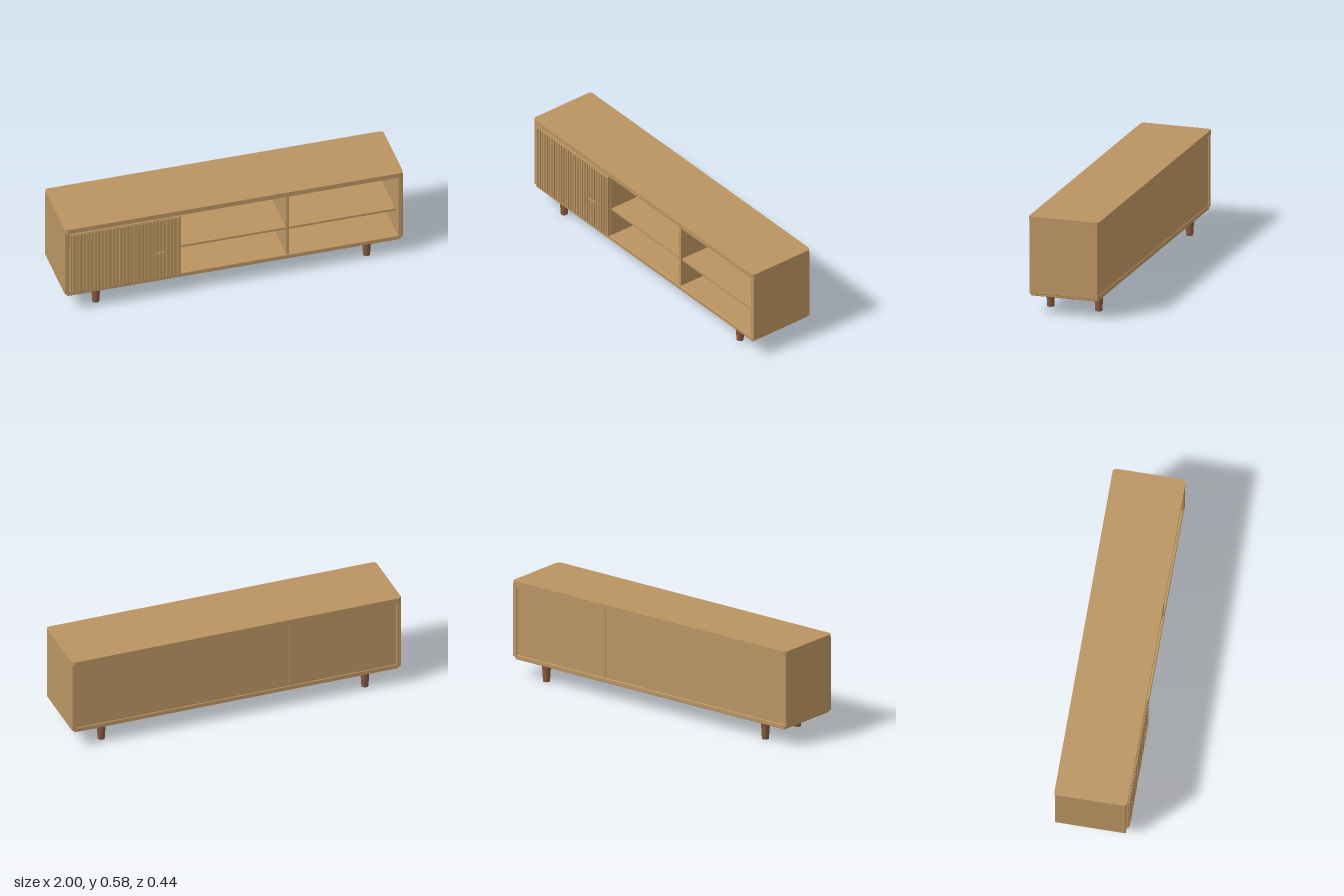
import * as THREE from 'three';
import { RoundedBoxGeometry } from 'three/addons/geometries/RoundedBoxGeometry.js';

const wood = new THREE.MeshStandardMaterial({ color: 0xba9462 });
const darkWood = new THREE.MeshStandardMaterial({ color: 0x85593f });
const slate = new THREE.MeshStandardMaterial({ color: 0x2c3844 });

// Box given by its limits on each axis, optionally with rounded edges
function slab(name, [x0, x1], [y0, y1], [z0, z1], radius = 0) {
  const size = [x1 - x0, y1 - y0, z1 - z0];
  const geometry = radius
    ? new RoundedBoxGeometry(...size, 3, radius)
    : new THREE.BoxGeometry(...size);
  const mesh = new THREE.Mesh(geometry, wood);
  mesh.position.set((x0 + x1) / 2, (y0 + y1) / 2, (z0 + z1) / 2);
  mesh.name = name;
  return mesh;
}

// Top board with rounded corners in plan
function makeTop() {
  const w = 1, d = 0.21, r = 0.022;
  const shape = new THREE.Shape();
  shape.absarc(w - r, d - r, r, 0, Math.PI / 2);
  shape.absarc(-w + r, d - r, r, Math.PI / 2, Math.PI);
  shape.absarc(-w + r, -d + r, r, Math.PI, Math.PI * 1.5);
  shape.absarc(w - r, -d + r, r, Math.PI * 1.5, Math.PI * 2);
  shape.closePath();
  const geometry = new THREE.ExtrudeGeometry(shape, { depth: 0.03, bevelEnabled: false, curveSegments: 6 });
  geometry.rotateX(-Math.PI / 2);
  const top = new THREE.Mesh(geometry, wood);
  top.position.set(0, 0.548, -0.01);
  top.name = 'top';
  return top;
}

// Slatted door with a small bow handle
function makeDoor() {
  const door = new THREE.Group();
  door.name = 'slattedDoor';
  door.add(slab('doorPanel', [-0.969, -0.315], [0.133, 0.544], [0.185, 0.203], 0.002));
  const count = 30, first = -0.953, last = -0.333;
  for (let i = 0; i < count; i++) {
    const x = first + (last - first) * i / (count - 1);
    door.add(slab('slat', [x - 0.0065, x + 0.0065], [0.138, 0.539], [0.2, 0.21], 0.002));
  }
  const path = new THREE.CatmullRomCurve3([
    [-0.463, 0.205], [-0.463, 0.214], [-0.459, 0.219],
    [-0.421, 0.219], [-0.417, 0.214], [-0.417, 0.205],
  ].map(([x, z]) => new THREE.Vector3(x, 0.32, z)), false, 'catmullrom', 0.2);
  const handle = new THREE.Mesh(new THREE.TubeGeometry(path, 30, 0.0038, 8), wood);
  handle.name = 'handle';
  door.add(handle);
  return door;
}

export function createModel() {
  const model = new THREE.Group();
  model.name = 'mediaConsole';

  // Carcass
  model.add(makeTop());
  model.add(slab('bottom', [-0.985, 0.985], [0.107, 0.135], [-0.211, 0.19], 0.005));
  for (const [name, s] of [['leftSide', 1], ['rightSide', -1]]) {
    const xs = s > 0 ? [0.97, 0.999] : [-0.999, -0.97];
    model.add(slab(name, xs, [0.123, 0.564], [-0.215, 0.193], 0.004));
  }
  for (const x of [-0.32, 0.32]) {
    model.add(slab('divider', [x - 0.008, x + 0.008], [0.13, 0.552], [-0.206, 0.186]));
  }

  // Back panels, one per bay, with narrow seams
  for (const xs of [[-0.972, -0.3215], [-0.3185, 0.315], [0.325, 0.972]]) {
    model.add(slab('backPanel', xs, [0.13, 0.552], [-0.207, -0.196]));
  }

  // Shelves in the two open bays
  for (const xs of [[-0.312, 0.312], [0.328, 0.958]]) {
    model.add(slab('shelf', xs, [0.305, 0.32], [-0.197, 0.178], 0.002));
  }

  // Cable grommets on the inner face of the back
  for (const x of [0, 0.645]) {
    const grommet = new THREE.Mesh(new THREE.CylinderGeometry(0.026, 0.026, 0.006, 32), slate);
    grommet.rotation.x = Math.PI / 2;
    grommet.position.set(x, 0.398, -0.194);
    grommet.name = 'cableGrommet';
    model.add(grommet);
  }

  model.add(makeDoor());

  // Tapered legs
  for (const x of [-0.8, 0.8]) {
    for (const z of [-0.155, 0.133]) {
      const leg = new THREE.Mesh(new THREE.CylinderGeometry(0.027, 0.02, 0.109, 24), darkWood);
      leg.position.set(x, 0.0545, z);
      leg.name = 'leg';
      model.add(leg);
    }
  }
  return model;
}
